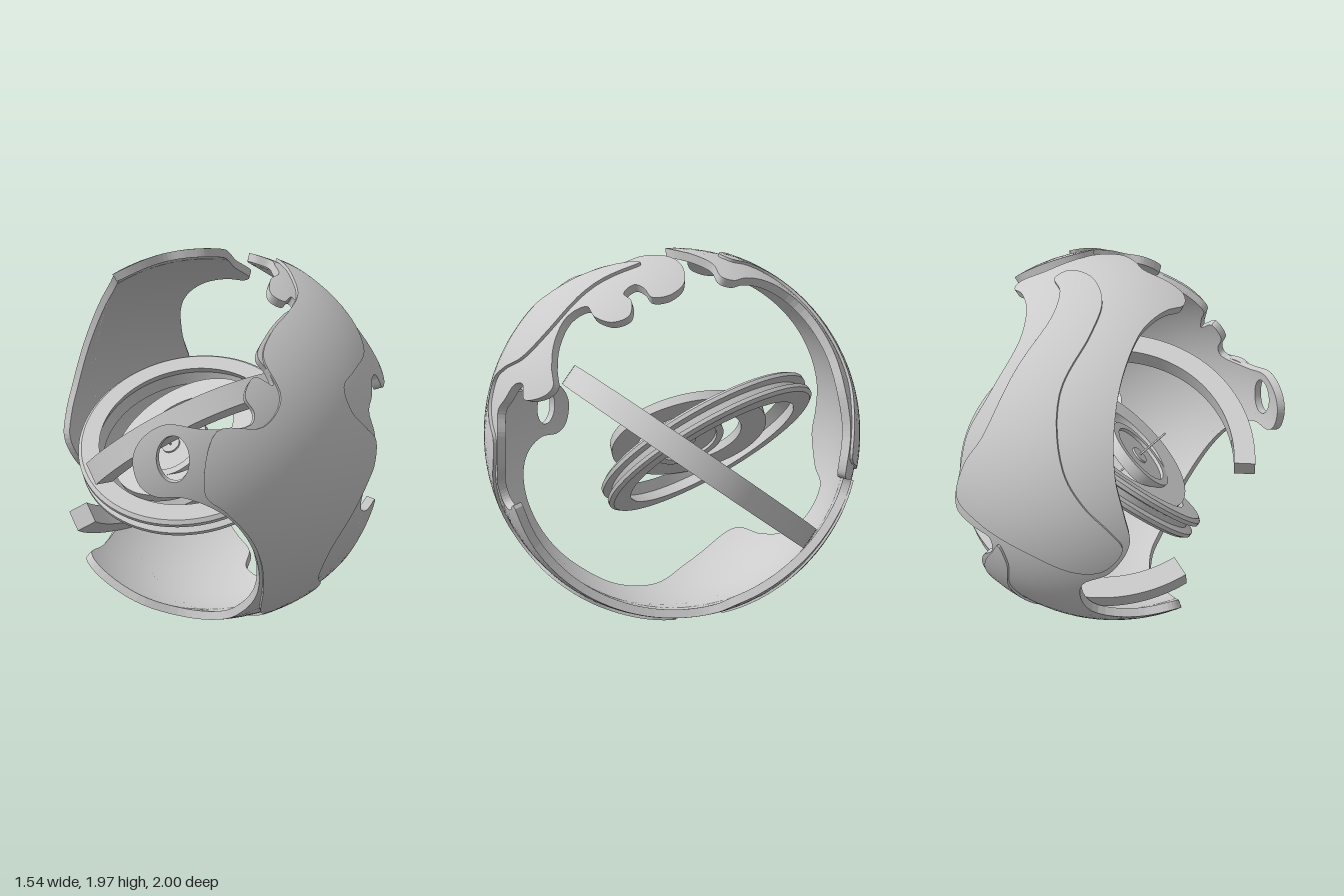
import * as THREE from 'three';

const CENTRE_Y = 0.985;
const material = new THREE.MeshStandardMaterial({ color: 0xcccccc, side: THREE.DoubleSide });
const rad = THREE.MathUtils.degToRad;

// Outline points are [angle around the x axis (0 front, 90 top, -180 back), x on the unit sphere].
function smoothOutline(points, clockwise) {
  const curve = new THREE.CatmullRomCurve3(
    points.map(([a, x]) => new THREE.Vector3(rad(a), Math.asin(x), 0)), true, 'centripetal');
  const out = curve.getPoints(points.length * 6).slice(0, -1).map(p => new THREE.Vector2(p.x, p.y));
  return THREE.ShapeUtils.isClockWise(out) === clockwise ? out : out.reverse();
}

const onSphere = (p, r) => new THREE.Vector3(
  Math.sin(p.y), Math.cos(p.y) * Math.sin(p.x), Math.cos(p.y) * Math.cos(p.x)).multiplyScalar(r);

// Curved plate: the outline is filled, refined, wrapped on two radii and closed by a rim.
function spherePlate(name, points, inner, outer, holes = []) {
  const contour = smoothOutline(points, false);
  const cuts = holes.map(h => smoothOutline(h, true));
  const flat = [contour, ...cuts].flat();
  const position = [], normal = [];
  const push = (p, r, n) => {
    position.push(...onSphere(p, r).toArray());
    normal.push(...n.toArray());
  };
  const emit = (a, b, c) => {
    for (const p of [a, c, b]) push(p, outer, onSphere(p, 1));
    for (const p of [a, b, c]) push(p, inner, onSphere(p, -1));
  };
  // Halve the longest edge until every triangle follows the curvature
  const refine = (a, b, c) => {
    const ab = a.distanceTo(b), bc = b.distanceTo(c), ca = c.distanceTo(a);
    const longest = Math.max(ab, bc, ca);
    if (longest < 0.085) return emit(a, b, c);
    if (bc === longest) [a, b, c] = [b, c, a];
    else if (ca === longest) [a, b, c] = [c, a, b];
    const m = a.clone().add(b).multiplyScalar(0.5);
    refine(a, m, c);
    refine(m, b, c);
  };
  for (const [i, j, k] of THREE.ShapeUtils.triangulateShape(contour, cuts)) {
    const a = flat[i], b = flat[j], c = flat[k];
    const area = (b.x - a.x) * (c.y - a.y) - (b.y - a.y) * (c.x - a.x);
    if (area > 0) refine(a, b, c); else refine(a, c, b);
  }
  // Rim walls
  for (const loop of [contour, ...cuts]) {
    loop.forEach((a, i) => {
      const b = loop[(i + 1) % loop.length];
      const pa = onSphere(a, 1), pb = onSphere(b, 1);
      const n = pb.clone().sub(pa).cross(pa.clone().negate()).normalize();
      for (const [p, r] of [[a, outer], [b, outer], [b, inner], [a, outer], [b, inner], [a, inner]]) push(p, r, n);
    });
  }
  const geometry = new THREE.BufferGeometry();
  geometry.setAttribute('position', new THREE.Float32BufferAttribute(position, 3));
  geometry.setAttribute('normal', new THREE.Float32BufferAttribute(normal, 3));
  const mesh = new THREE.Mesh(geometry, material);
  mesh.name = name;
  mesh.position.y = CENTRE_Y;
  return mesh;
}

// Ring turned from a closed [radius, height] profile; each profile face is its own strip to keep edges sharp.
function turnedRing(name, profile, start = 0, sweep = 360) {
  const ring = new THREE.Group();
  ring.name = name;
  profile.forEach((p, i) => {
    const q = profile[(i + 1) % profile.length];
    ring.add(new THREE.Mesh(new THREE.LatheGeometry(
      [new THREE.Vector2(...p), new THREE.Vector2(...q)], 96, rad(start), rad(sweep)), material));
  });
  if (sweep < 360) {
    const cap = new THREE.ShapeGeometry(new THREE.Shape(profile.map(p => new THREE.Vector2(...p))));
    for (const angle of [start, start + sweep]) {
      const end = new THREE.Mesh(cap, material);
      end.rotation.y = rad(angle - 90);
      ring.add(end);
    }
  }
  ring.children.forEach(m => { m.name = name + 'Face'; });
  return ring;
}

const band = (r0, r1, h) => [[r0, -h / 2], [r1, -h / 2], [r1, h / 2], [r0, h / 2]];

function tilt(object, axis, position) {
  object.quaternion.setFromUnitVectors(new THREE.Vector3(0, 1, 0), new THREE.Vector3(...axis).normalize());
  object.position.set(...position);
  return object;
}

export function createModel() {
  const model = new THREE.Group();
  model.name = 'brokenSphereWithRings';

  // Outer shell: one long band round the sphere, open at the top
  const rightEdge = [
    [93, 0.4], [90, 0.28], [85, 0.21], [80, 0.2], [75, 0.24], [68, 0.19], [62, 0.15], [58, 0.06], [51, 0],
    [48, 0.05], [50, 0.11], [47, 0.12], [43, 0], [37, -0.13], [31, -0.21], [26, -0.18], [22, -0.17],
    [25, -0.25], [20, -0.31], [15, -0.28], [12, -0.3], [12, -0.5], [15, -0.65], [11, -0.73], [3, -0.765],
    [-8, -0.74], [-11, -0.69], [-10, -0.58], [-14, -0.42], [-21, -0.3], [-31, -0.2], [-45, -0.12], [-60, -0.1],
    [-70, -0.1], [-84, -0.2], [-96, -0.4], [-114, -0.55], [-121, -0.54], [-128, -0.4], [-140, -0.22],
    [-157, -0.24], [-162, -0.38], [-173, -0.48], [-183, -0.46], [-195, -0.41], [-216, -0.36], [-230, -0.35],
    [-241, -0.36], [-251, -0.41], [-257, -0.46], [-262, -0.43], [-264, -0.35], [-265, -0.2], [-269, -0.12],
  ];
  const leftEdge = [
    [-272, -0.02], [-270, 0.1], [-264, 0.2], [-258, 0.3], [-255, 0.42], [-251, 0.42], [-247, 0.34],
    [-239, 0.24], [-228, 0.2], [-212, 0.28], [-199, 0.38], [-186, 0.42], [-175, 0.47], [-171, 0.46],
    [-169, 0.35], [-168, 0.24], [-163, 0.24], [-157, 0.33], [-147, 0.4], [-134, 0.46], [-120, 0.48],
    [-111, 0.48], [-104, 0.4], [-90, 0.4], [-70, 0.43],
    [-52, 0.46], [-35, 0.49], [-18, 0.52], [-20, 0.45], [-18, 0.38], [-12, 0.37], [-6, 0.43], [5, 0.45],
    [13, 0.41], [18, 0.46], [24, 0.5], [26, 0.56], [22, 0.61], [27, 0.7], [33, 0.72], [38, 0.66], [45, 0.57],
    [53, 0.5], [60, 0.52], [61, 0.6], [66, 0.67], [73, 0.67], [75, 0.6], [73, 0.54], [77, 0.5], [80, 0.54],
    [82, 0.6], [88, 0.6], [93, 0.53],
  ];
  const eyelet = [];
  for (let i = 0; i < 10; i++) {
    const t = i / 10 * Math.PI * 2;
    eyelet.push([3 + 8 * Math.sin(t), -0.625 + 0.06 * Math.cos(t)]);
  }
  model.add(spherePlate('outerShell', [...rightEdge, ...leftEdge], 0.94, 0.984, [eyelet]));

  // Raised layers lying on the shell
  model.add(spherePlate('frontRaisedLayer', [
    [80, 0.33], [62, 0.22], [50, 0.14], [43, 0.02], [37, -0.11], [30, -0.19], [18, -0.15], [11, -0.25],
    [11, -0.45], [-8, -0.5], [-13, -0.41], [-21, -0.28], [-30, -0.19], [-42, -0.11], [-50, -0.06], [-57, 0],
    [-65, 0.1], [-85, 0.14], [-91, 0.22], [-84, 0.28], [-70, 0.3], [-58, 0.34], [-48, 0.3], [-40, 0.21],
    [-28, 0.2], [-15, 0.31], [-8, 0.38], [-4, 0.42], [4, 0.43], [8, 0.35], [13, 0.25], [20, 0.22],
    [25, 0.32], [33, 0.47], [46, 0.5], [65, 0.4],
  ], 0.96, 1));
  model.add(spherePlate('backRaisedLayer', [
    [-233, -0.15], [-245, -0.13], [-254, 0], [-256, 0.14], [-252, 0.18], [-246, 0.1], [-236, 0.07], [-220, 0.15],
    [-200, 0.26], [-190, 0.37], [-177, 0.43], [-173, 0.3], [-168, 0], [-163, -0.24], [-164, -0.36],
    [-172, -0.45], [-178, -0.4], [-186, -0.28], [-195, -0.18], [-215, -0.1],
  ], 0.96, 0.998));
  model.add(spherePlate('lowerBackRaisedLayer', [
    [-167, 0.18], [-163, 0.23], [-156, 0.31], [-146, 0.37], [-135, 0.38], [-115, 0.32], [-106, 0.26], [-106, 0.2],
    [-125, 0.2], [-145, 0.22], [-160, 0.15],
  ], 0.96, 0.996));

  // Large open ring with a gap on the right
  model.add(tilt(turnedRing('largeOpenRing', band(0.675, 0.785, 0.12), 288, 306), [-0.21, 1, -0.7], [0, 0.855, -0.09]));

  // Middle ring with a groove round the outside
  model.add(tilt(turnedRing('groovedRing', [
    [0.5, -0.06], [0.6, -0.06], [0.62, -0.045], [0.62, -0.025], [0.575, -0.015],
    [0.575, 0.015], [0.62, 0.025], [0.62, 0.045], [0.6, 0.06], [0.5, 0.06], [0.53, 0],
  ]), [-0.42, 0.77, 0.47], [0, 0.925, -0.19]));

  // Flat inner ring
  model.add(tilt(turnedRing('flatInnerRing', band(0.29, 0.43, 0.05)), [-0.6, 0.76, 0.2], [-0.08, 0.96, -0.09]));

  // Rimmed disc, hub and pin share one axis
  const core = new THREE.Group();
  core.name = 'innerCore';
  core.add(turnedRing('discRim', band(0.17, 0.21, 0.06)));
  const cylinder = (name, r, h) => {
    const mesh = new THREE.Mesh(new THREE.CylinderGeometry(r, r, h, 48), material);
    mesh.name = name;
    core.add(mesh);
  };
  cylinder('disc', 0.18, 0.025);
  cylinder('hub', 0.05, 0.045);
  cylinder('pin', 0.005, 0.4);
  model.add(tilt(core, [-0.64, 0.67, 0.3], [-0.17, 0.92, -0.08]));

  return model;
}
